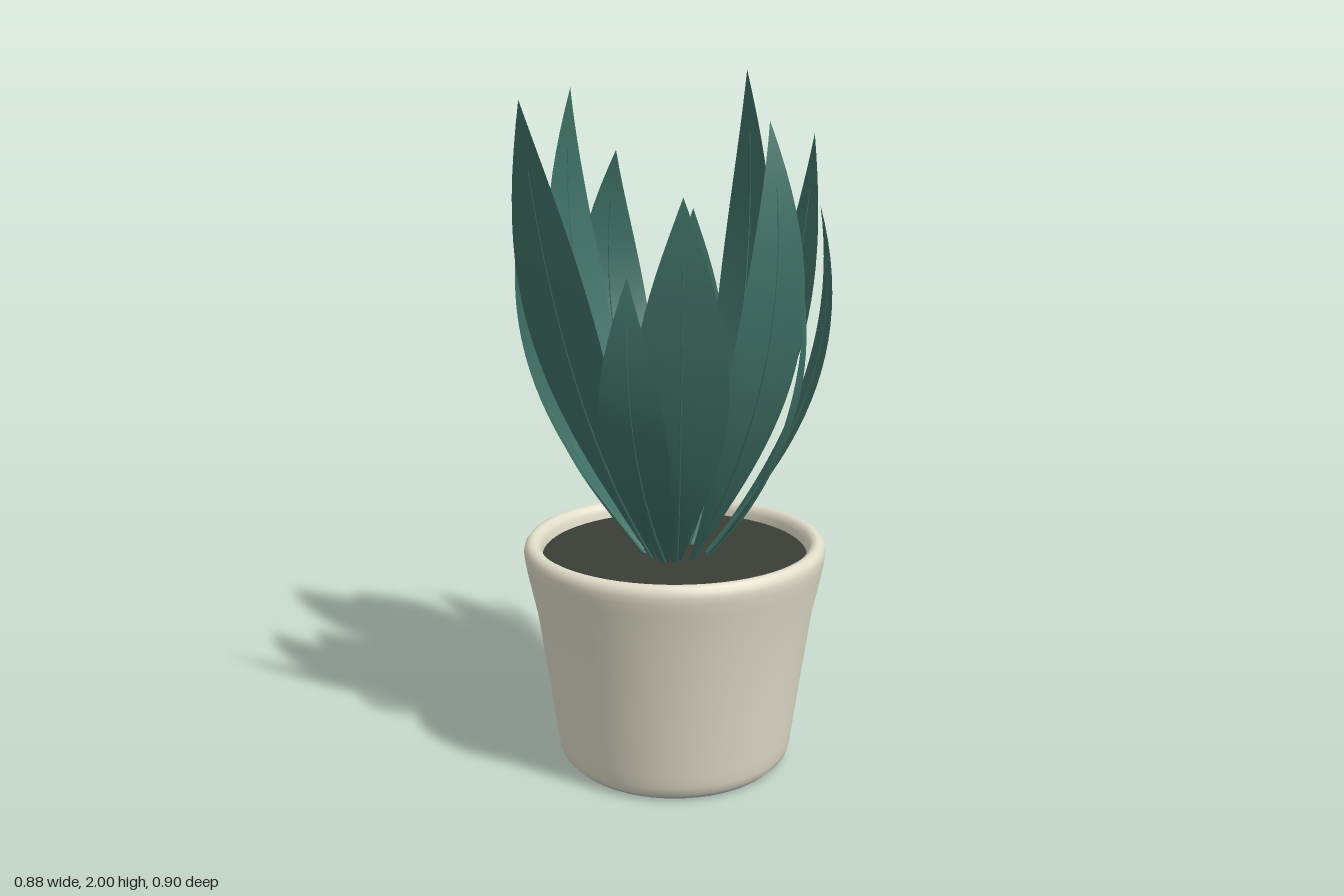
import * as THREE from 'three';

const mat = (name, color) => {
  const m = new THREE.MeshStandardMaterial({ color });
  m.name = name;
  return m;
};

// Leaves: tip x, y, z, then radius of the belly, half width, roll
const LEAVES = [
  [-0.24, 1.91, 0.45, 0.44, 0.132, 0.22],
  [0.04, 1.48, 0.43, 0.43, 0.09, 0],
  [0.19, 1.68, 0.43, 0.42, 0.125, 0],
  [0.34, 1.86, 0.22, 0.44, 0.108, -0.06],
  [0.37, 1.45, 0.0, 0.37, 0.105, 0.2],
  [0.38, 1.63, -0.13, 0.42, 0.095, 0.18],
  [0.29, 1.82, -0.38, 0.43, 0.112, -0.14],
  [0.10, 2.0, -0.32, 0.355, 0.1, -0.1],
  [-0.11, 1.59, -0.44, 0.425, 0.11, 0],
  [-0.29, 1.77, -0.26, 0.45, 0.125, -0.05],
  [-0.39, 1.95, -0.16, 0.43, 0.12, 0.12],
  [-0.37, 1.54, 0.06, 0.385, 0.1, 0],
  [-0.34, 1.73, 0.19, 0.43, 0.112, -0.2],
];

// Moves every vertex by rule(vertex, uv)
function reshape(geo, rule) {
  const p = geo.attributes.position, uv = geo.attributes.uv;
  const v = new THREE.Vector3();
  for (let i = 0; i < p.count; i++) {
    v.fromBufferAttribute(p, i);
    rule(v, uv.getX(i), uv.getY(i));
    p.setXYZ(i, v.x, v.y, v.z);
  }
  geo.computeVertexNormals();
  return geo;
}

function makeLeaf([x, height, z, belly, halfWidth, roll], leafMat) {
  const reach = Math.hypot(x, z), dx = x / reach, dz = z / reach;
  const length = height - 0.57;
  // Centre line in (radius, height), passing the belly at three quarters
  const spine = new THREE.CubicBezierCurve(
    new THREE.Vector2(0.05, 0.57),
    new THREE.Vector2(0.28, 0.57 + 0.25 * length),
    new THREE.Vector2((belly - 0.04) / 0.42 - reach, 0.57 + 0.57 * length),
    new THREE.Vector2(reach, height));
  // Puts a point at t along the spine, offset sideways and towards the middle
  const place = (v, t, side, depth) => {
    const c = spine.getPoint(t), g = spine.getTangent(t);
    const r = c.x - g.y * depth;
    v.set(dx * r - dz * side, c.y + g.x * depth, dz * r + dx * side);
  };

  const leaf = new THREE.Group();
  leaf.name = 'leaf';
  // Blade: channelled at the base, flat and pointed above
  const blade = new THREE.Mesh(reshape(new THREE.PlaneGeometry(1, 1, 8, 28), (v, u, t) => {
    const s = u * 2 - 1;
    const w = halfWidth * Math.max(0, Math.sin(Math.PI * (0.03 + 0.97 * t) ** 1.38));
    place(v, t, s * w, (0.2 * (1 - t) ** 2 * s * s - roll * t * s) * w);
  }), leafMat);
  blade.name = 'leafBlade';

  // Slim tapering midrib set into the blade
  const rib = new THREE.Mesh(reshape(new THREE.CylinderGeometry(1, 1, 1, 6, 24), (v) => {
    const t = (v.y + 0.5) * 0.9, radius = 0.0015 + 0.0065 * (1 - t) ** 2;
    place(v, t, v.x * radius, v.z * radius);
  }), leafMat);
  rib.name = 'midrib';
  leaf.add(blade, rib);
  return leaf;
}

export function createModel() {
  const model = new THREE.Group();
  model.name = 'pottedPlant';
  const potMat = mat('warm stone', 0xe1ddca);
  const soilMat = mat('dark soil', 0x3b3d36);
  const footMat = mat('pale slate base', 0xb6c4c1);
  const leafMat = mat('deep green', 0x407267);
  leafMat.side = THREE.DoubleSide;

  // Pot wall with a rounded foot and rim
  const profile = [
    [0.31, 0.006], [0.328, 0.01], [0.34, 0.022], [0.347, 0.045], [0.352, 0.08],
    [0.375, 0.25], [0.405, 0.46], [0.432, 0.585], [0.438, 0.62], [0.44, 0.64],
    [0.437, 0.655], [0.429, 0.666], [0.417, 0.671], [0.405, 0.668], [0.395, 0.659],
    [0.389, 0.645], [0.386, 0.62], [0.384, 0.58],
  ].map(([r, y]) => new THREE.Vector2(r, y));
  const pot = new THREE.Mesh(new THREE.LatheGeometry(profile, 64), potMat);
  pot.name = 'pot';

  const foot = new THREE.Mesh(new THREE.CylinderGeometry(0.325, 0.318, 0.01, 64), footMat);
  foot.position.y = 0.005;
  foot.name = 'potBase';

  const soil = new THREE.Mesh(new THREE.CylinderGeometry(0.388, 0.385, 0.04, 64), soilMat);
  soil.position.y = 0.605;
  soil.name = 'soil';

  const leaves = new THREE.Group();
  leaves.name = 'leaves';
  LEAVES.forEach((spec) => leaves.add(makeLeaf(spec, leafMat)));

  model.add(pot, foot, soil, leaves);
  return model;
}
